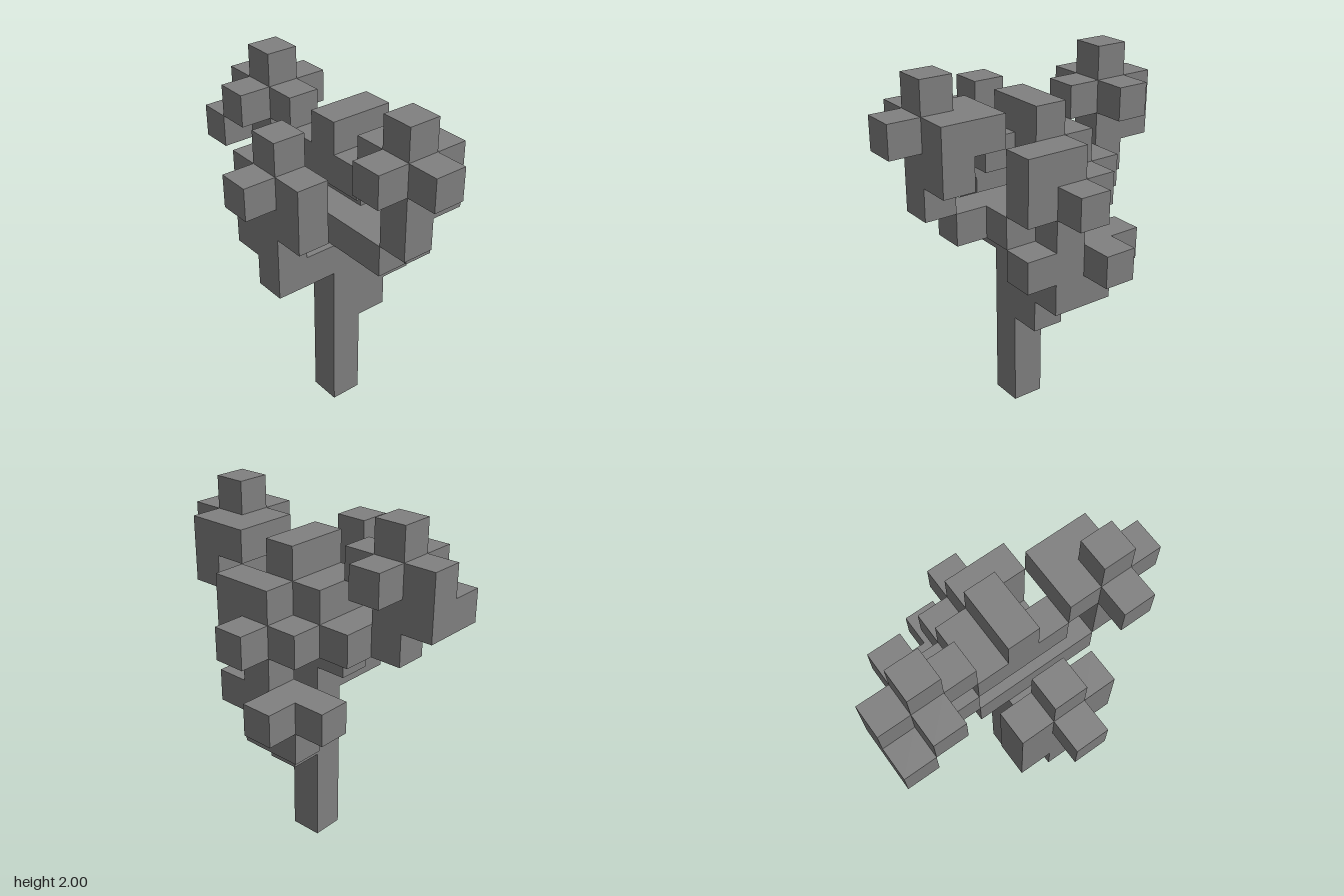
import * as THREE from 'three';

// Edge length of one block: the tree is eleven blocks tall
const U = 2 / 11;
const material = new THREE.MeshStandardMaterial({ color: 0x808080 });

// Each run is [x, y, z] for a single block, or [x, y, z, nx, ny, nz] for a
// box of nx * ny * nz blocks that starts at block x, y, z.
const parts = {
  trunk: [[0, 0, 0, 1, 7, 1]],

  crown: [
    [0, 9, -1, 1, 1, 2], // ridge on top
    [-1, 8, 0, 3, 1, 1],
    [-1, 8, -1],
    [0, 7, -1, 1, 2, 1],
    [-1, 7, -2, 1, 1, 2],
  ],

  rearUpperBranch: [
    [0, 6, -2],
    [0, 7, -2, 2, 2, 1],
    [0, 7, -3],
  ],

  rearLowerBranch: [
    [0, 3, -1, 1, 2, 1],
    [-1, 4, -2, 2, 1, 1],
    [-2, 5, -2, 4, 1, 1],
    [-1, 5, -3],
  ],

  frontBranch: [
    [0, 5, 1],
    [0, 5, 2, 1, 4, 1],
    [-1, 6, 2, 1, 3, 1],
    [1, 7, 2, 1, 2, 1],
    [0, 8, 3],
    [0, 9, 2],
  ],

  leftBranch: [
    [1, 6, -1, 1, 1, 2],
    [2, 6, 0],
    [3, 7, 0, 1, 4, 1], // upright
    [3, 8, -1, 1, 2, 1],
    [2, 9, -1, 1, 1, 2],
    [4, 9, 0],
    [3, 9, 1],
  ],

  rightBranch: [
    [-1, 6, 0],
    [-2, 7, -1, 1, 1, 2],
    [-3, 7, 0, 1, 4, 1], // upright
    [-4, 8, 0, 1, 2, 1],
    [-4, 8, 1],
    [-2, 9, 0],
    [-3, 9, -1],
    [-3, 9, 1],
  ],
};

function addRun(group, [x, y, z, nx = 1, ny = 1, nz = 1]) {
  const mesh = new THREE.Mesh(new THREE.BoxGeometry(nx * U, ny * U, nz * U), material);
  mesh.position.set((x + (nx - 1) / 2) * U, (y + ny / 2) * U, (z + (nz - 1) / 2) * U);
  mesh.name = group.name + 'Block';
  group.add(mesh);
}

export function createModel() {
  const model = new THREE.Group();
  model.name = 'blockTree';
  for (const [name, runs] of Object.entries(parts)) {
    const part = new THREE.Group();
    part.name = name;
    runs.forEach((run) => addRun(part, run));
    model.add(part);
  }
  return model;
}
